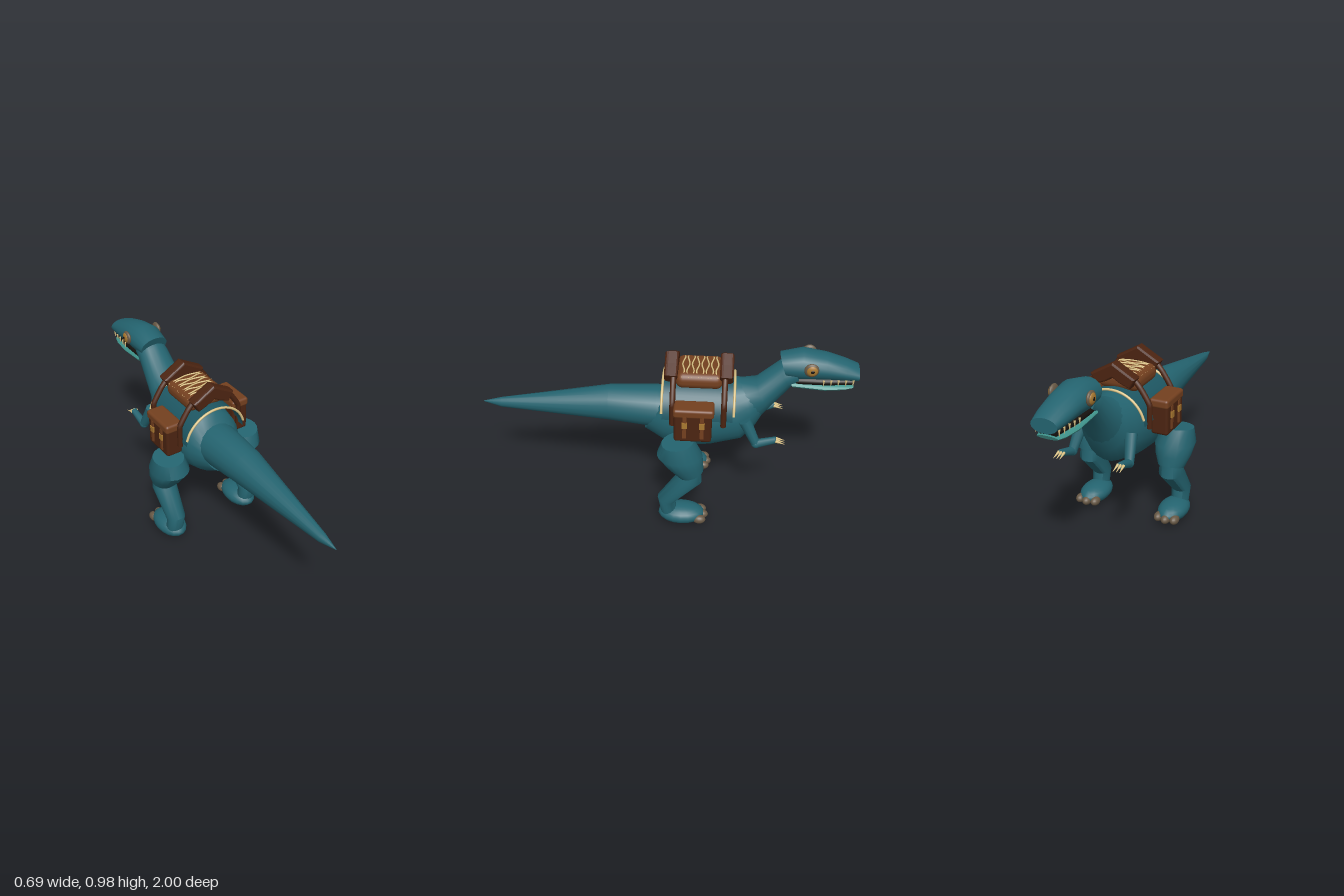
import * as THREE from 'three';
import { toCreasedNormals } from 'three/addons/utils/BufferGeometryUtils.js';
import { RoundedBoxGeometry } from 'three/addons/geometries/RoundedBoxGeometry.js';

const mat = (name, color, side = THREE.FrontSide) => {
  const m = new THREE.MeshStandardMaterial({ color, side });
  m.name = name;
  return m;
};
const M = {
  skin: mat('tealSkin', 0x246470),
  blanket: mat('darkTealCloth', 0x1e5763, THREE.DoubleSide),
  jaw: mat('paleTeal', 0x3f938b),
  leather: mat('brownLeather', 0x74401f),
  dark: mat('darkLeather', 0x4c2411),
  rope: mat('ropeAndIvory', 0xd9c184),
  brass: mat('brass', 0xa87830),
  claw: mat('greyBrownHorn', 0x675845),
  black: mat('black', 0x17130f),
};

// Loft through elliptical rings: [yTop, zTop, yBottom, zBottom, halfWidth, xCentre]
function loft(rings, seg = 18) {
  const pos = [], idx = [];
  for (const [yt, zt, yb, zb, rx, xc = 0] of rings) {
    for (let j = 0; j < seg; j++) {
      const a = (j / seg) * Math.PI * 2, s = Math.sin(a) / 2;
      pos.push(xc + Math.cos(a) * rx, (yt + yb) / 2 + (yt - yb) * s, (zt + zb) / 2 + (zt - zb) * s);
    }
  }
  const n = rings.length;
  for (let i = 0; i < n - 1; i++) {
    for (let j = 0; j < seg; j++) {
      const k = (j + 1) % seg, a = i * seg, b = a + seg;
      idx.push(a + j, b + j, a + k, b + j, b + k, a + k);
    }
  }
  for (const [i, flip] of [[0, false], [n - 1, true]]) {
    const [yt, zt, yb, zb, , xc = 0] = rings[i], c = pos.length / 3;
    pos.push(xc, (yt + yb) / 2, (zt + zb) / 2);
    for (let j = 0; j < seg; j++) {
      const a = i * seg + j, b = i * seg + (j + 1) % seg;
      idx.push(c, flip ? b : a, flip ? a : b);
    }
  }
  const g = new THREE.BufferGeometry();
  g.setAttribute('position', new THREE.Float32BufferAttribute(pos, 3));
  g.setIndex(idx);
  return toCreasedNormals(g, 0.8);
}

const tube = (pts, r, seg = 24, tension = 0.5) => new THREE.TubeGeometry(
  new THREE.CatmullRomCurve3(pts.map(p => new THREE.Vector3(...p)), false, 'catmullrom', tension), seg, r, 8);

export function createModel() {
  const root = new THREE.Group();
  root.name = 'saddledDinosaur';
  const add = (name, geo, m, x = 0, y = 0, z = 0) => {
    const mesh = new THREE.Mesh(geo, m);
    mesh.name = name;
    mesh.position.set(x, y, z);
    root.add(mesh);
    return mesh;
  };
  const ball = (name, m, x, y, z, rx, ry, rz) =>
    add(name, new THREE.SphereGeometry(1, 18, 12), m, x, y, z).scale.set(rx, ry, rz);
  // Tapered limb or spike between two points
  const limb = (name, m, a, b, ra, rb) => {
    const A = new THREE.Vector3(...a), B = new THREE.Vector3(...b), d = B.clone().sub(A);
    const mesh = add(name, new THREE.CylinderGeometry(rb, ra, d.length(), 10), m);
    mesh.position.copy(A).add(B).multiplyScalar(0.5);
    mesh.quaternion.setFromUnitVectors(new THREE.Vector3(0, 1, 0), d.normalize());
  };

  // Tail, torso and neck
  add('tail', loft([
    [0.578, 1, 0.574, 1, 0.002], [0.603, 0.9, 0.546, 0.9, 0.024], [0.705, 0.3, 0.51, 0.3, 0.098],
    [0.713, 0.04, 0.484, 0.05, 0.12], [0.71, -0.02, 0.48, 0, 0.12],
  ]), M.skin);
  add('torso', loft([
    [0.7, 0.02, 0.47, 0.11, 0.11], [0.755, -0.03, 0.415, 0.01, 0.16], [0.78, -0.12, 0.377, -0.11, 0.175],
    [0.79, -0.25, 0.39, -0.25, 0.172], [0.785, -0.36, 0.435, -0.42, 0.15],
    [0.78, -0.42, 0.52, -0.49, 0.125], [0.785, -0.46, 0.6, -0.53, 0.1],
  ], 22), M.skin);
  add('neck', loft([
    [0.78, -0.39, 0.55, -0.5, 0.115], [0.795, -0.48, 0.64, -0.56, 0.102],
    [0.9, -0.595, 0.775, -0.665, 0.088], [0.93, -0.66, 0.8, -0.71, 0.08],
  ]), M.skin);

  // Head, mouth and jaw
  add('head', loft([
    [0.953, -0.594, 0.83, -0.64, 0.083], [0.982, -0.71, 0.822, -0.7, 0.095], [0.962, -0.83, 0.826, -0.83, 0.088],
    [0.93, -0.93, 0.826, -0.93, 0.08], [0.9, -1, 0.826, -1, 0.068],
  ]), M.skin);
  add('mouthInside', loft([
    [0.86, -0.68, 0.795, -0.68, 0.074], [0.86, -0.83, 0.795, -0.83, 0.074], [0.85, -0.975, 0.797, -0.965, 0.054],
  ]), M.black);
  add('lowerJaw', loft([
    [0.835, -0.65, 0.785, -0.67, 0.083], [0.818, -0.83, 0.77, -0.83, 0.08],
    [0.812, -0.93, 0.778, -0.93, 0.07], [0.808, -0.98, 0.787, -0.97, 0.056],
  ]), M.jaw);

  for (const s of [1, -1]) {
    // Eyes
    ball('eyeRim', M.claw, s * 0.097, 0.918, -0.75, 0.016, 0.038, 0.038);
    ball('iris', M.brass, s * 0.105, 0.918, -0.752, 0.012, 0.029, 0.029);
    ball('pupil', M.black, s * 0.113, 0.918, -0.754, 0.006, 0.011, 0.011);
    // Teeth
    for (let i = 0; i < 5; i++) {
      const z = -0.82 - i * 0.038, x = s * (0.076 - i * 0.004);
      limb('upperTooth', M.rope, [x, 0.845, z], [x, 0.812, z], 0.006, 0.001);
    }

    // Legs, feet and toes
    const x = s * 0.24;
    add('thigh', loft([
      [0.552, -0.17, 0.53, 0, 0.086, s * 0.245], [0.46, -0.215, 0.455, 0.025, 0.108, s * 0.237],
      [0.41, -0.222, 0.385, -0.03, 0.095, s * 0.238], [0.36, -0.225, 0.32, -0.09, 0.07, x],
    ]), M.skin);
    add('shin', loft([
      [0.36, -0.21, 0.36, -0.1, 0.062, x], [0.285, -0.218, 0.325, -0.088, 0.068, x],
      [0.145, -0.075, 0.17, 0.02, 0.054, s * 0.246], [0.05, -0.09, 0.06, 0, 0.048, s * 0.246],
    ]), M.skin);
    ball('foot', M.skin, x, 0.057, -0.11, 0.081, 0.053, 0.127);
    for (const t of [-1, 0, 1])
      ball('toeClaw', M.claw, x + t * 0.046, 0.047, t ? -0.21 : -0.222, 0.025, 0.025, 0.036);

    // Arms and claws
    limb('upperArm', M.skin, [s * 0.14, 0.62, -0.43], [s * 0.16, 0.49, -0.495], 0.034, 0.024);
    ball('elbow', M.skin, s * 0.16, 0.49, -0.495, 0.025, 0.025, 0.025);
    limb('forearm', M.skin, [s * 0.16, 0.49, -0.495], [s * 0.165, 0.525, -0.6], 0.024, 0.018);
    for (const t of [-1, 0, 1])
      limb('fingerClaw', M.rope, [s * 0.165 + t * 0.015, 0.525, -0.595], [s * 0.165 + t * 0.018, 0.51, -0.645], 0.008, 0.001);

    // Saddle bags with lid, straps and buckles
    add('bag', new RoundedBoxGeometry(0.095, 0.185, 0.195, 3, 0.015), M.dark, s * 0.213, 0.645, -0.162);
    add('bagLid', new RoundedBoxGeometry(0.105, 0.05, 0.21, 3, 0.015), M.leather, s * 0.212, 0.725, -0.165);
    for (const z of [-0.12, -0.21]) {
      add('bagStrap', new THREE.BoxGeometry(0.008, 0.13, 0.02), M.leather, s * 0.262, 0.645, z);
      add('buckle', new THREE.BoxGeometry(0.01, 0.034, 0.028), M.brass, s * 0.265, 0.66, z);
    }
    // Saddle straps
    for (const z of [-0.052, -0.318])
      add('saddleStrap', tube([[s * 0.1, 0.86, z], [s * 0.135, 0.82, z], [s * 0.187, 0.735, z], [s * 0.188, 0.61, z]], 0.015, 24, 0.2), M.dark);
  }

  // Blanket draped over the back, with rope trim at both ends
  const drape = new THREE.CylinderGeometry(1, 1, 0.37, 32, 1, true, Math.PI - 1.5, 3);
  drape.rotateX(Math.PI / 2).scale(0.182, 0.18, 1);
  add('blanket', drape, M.blanket, 0, 0.62, -0.18);
  for (const z of [0.006, -0.37]) {
    const pts = [];
    for (let i = 0; i <= 12; i++) {
      const a = 0.27 + (i / 12) * (Math.PI - 0.54);
      pts.push([0.188 * Math.cos(a), 0.62 + 0.185 * Math.sin(a), z]);
    }
    add('ropeTrim', tube(pts, 0.007, 40), M.rope);
  }

  // Seat with lacing
  add('seat', new RoundedBoxGeometry(0.235, 0.09, 0.25, 4, 0.04), M.leather, 0, 0.823, -0.185);
  for (let i = 0; i < 8; i++) {
    const z = -0.1 - i * 0.025, w = 0.006 * (i % 2 ? 1 : -1);
    add('lacing', tube([[-0.108, 0.85, z - w], [-0.07, 0.869, z + w], [0, 0.869, z - w], [0.07, 0.869, z + w], [0.108, 0.85, z - w]], 0.004), M.rope);
  }

  // Peaked saddle horns, front and back
  const peak = new THREE.Shape();
  peak.moveTo(0, 0.93);
  for (const [px, py] of [[-0.055, 0.898], [-0.112, 0.866], [-0.09, 0.828], [-0.045, 0.845], [0, 0.872],
    [0.045, 0.845], [0.09, 0.828], [0.112, 0.866], [0.055, 0.898]]) peak.lineTo(px, py);
  const horn = new THREE.ExtrudeGeometry(peak, { depth: 0.034, bevelThickness: 0.018, bevelSize: 0.01, bevelSegments: 3 });
  horn.translate(0, 0, -0.017);
  for (const z of [-0.038, -0.325]) add('saddleHorn', horn, M.dark, 0, 0, z);

  return root;
}
